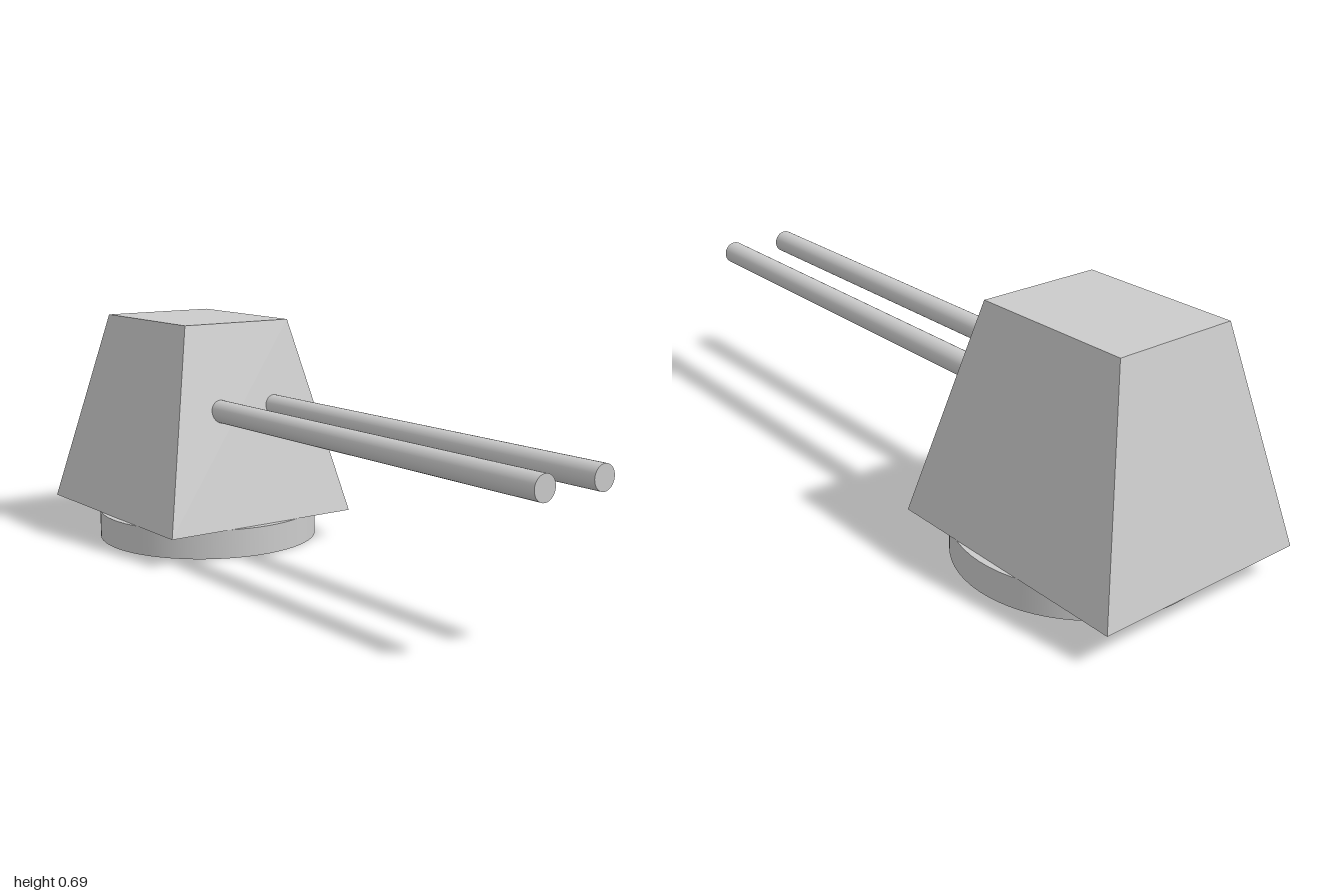
import * as THREE from 'three';

const material = new THREE.MeshStandardMaterial({ color: 0xcccccc });

function addPart(parent, name, geometry, x, y, z) {
  const mesh = new THREE.Mesh(geometry, material);
  mesh.name = name;
  mesh.position.set(x, y, z);
  parent.add(mesh);
  return mesh;
}

// Box whose top corners are pulled in to form a truncated pyramid
function taperedBox(width, height, depth, topWidth, topDepth) {
  const geometry = new THREE.BoxGeometry(width, height, depth);
  const pos = geometry.attributes.position;
  for (let i = 0; i < pos.count; i++) {
    if (pos.getY(i) > 0) {
      pos.setX(i, Math.sign(pos.getX(i)) * topWidth / 2);
      pos.setZ(i, Math.sign(pos.getZ(i)) * topDepth / 2);
    }
  }
  geometry.computeVertexNormals();
  return geometry;
}

export function createModel() {
  const turret = new THREE.Group();
  turret.name = 'gunTurret';

  const baseHeight = 0.087;
  const topY = 0.688;
  const housingHeight = topY - baseHeight;

  // Round turntable
  addPart(turret, 'base', new THREE.CylinderGeometry(0.343, 0.343, baseHeight, 64), -0.571, baseHeight / 2, 0);

  // Sloped armoured housing
  addPart(turret, 'housing', taperedBox(0.75, housingHeight, 0.646, 0.472, 0.368),
    -0.625, baseHeight + housingHeight / 2, 0);

  // Twin barrels, rooted inside the housing
  const barrelStart = -0.45;
  const barrelLength = 1 - barrelStart;
  const barrelGeometry = new THREE.CylinderGeometry(0.034, 0.034, barrelLength, 32).rotateZ(-Math.PI / 2);
  for (const [name, side] of [['frontBarrel', 1], ['rearBarrel', -1]]) {
    addPart(turret, name, barrelGeometry, barrelStart + barrelLength / 2, 0.431, side * 0.097);
  }

  return turret;
}
